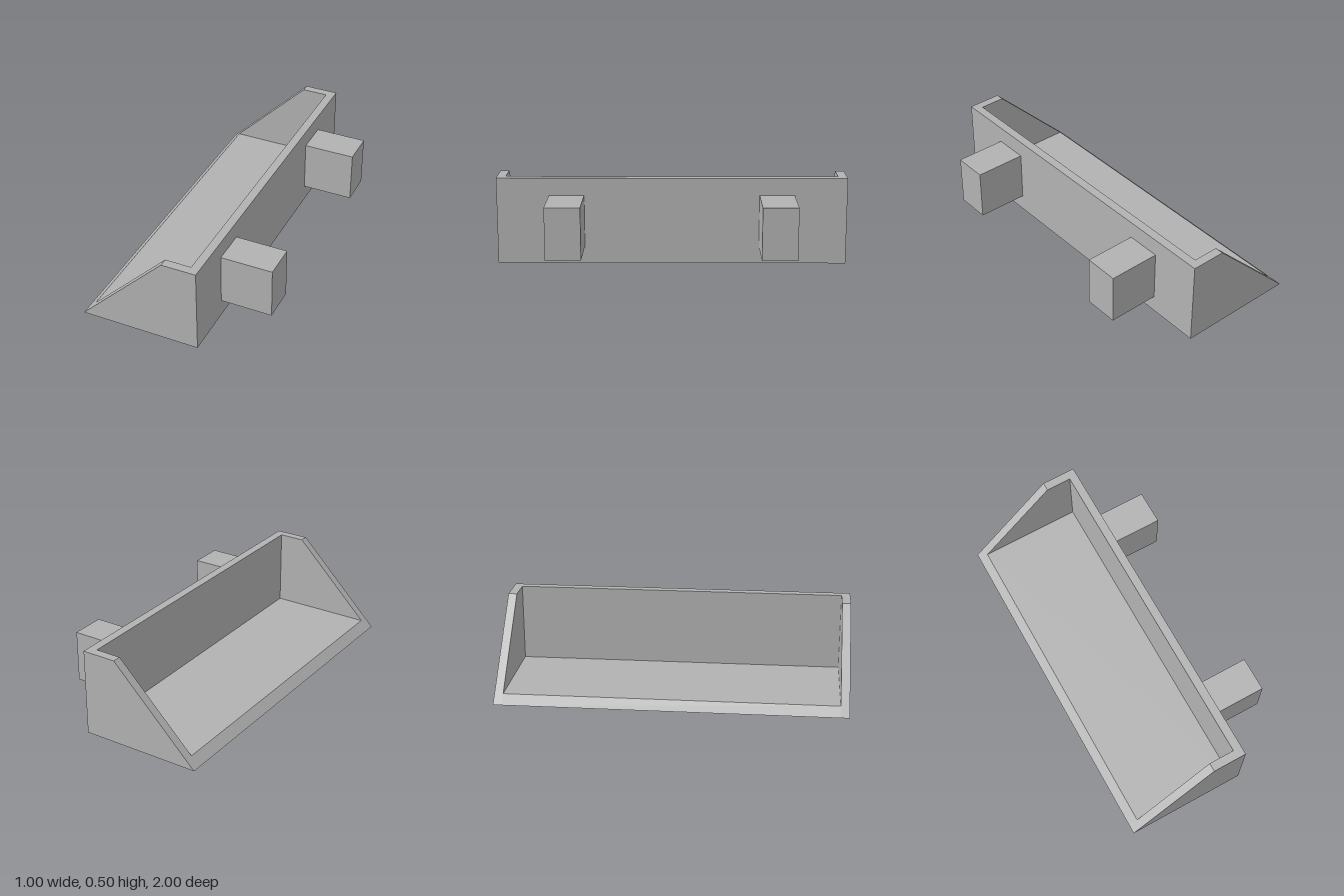
import * as THREE from 'three';

const WALL = 0.05;
const HALF = 1;

// Extrude an x/y outline along z, from z0 over the given length
function extrude(points, z0, length) {
  const shape = new THREE.Shape(points.map(([x, y]) => new THREE.Vector2(x, y)));
  const geometry = new THREE.ExtrudeGeometry(shape, { depth: length, bevelEnabled: false });
  return geometry.translate(0, 0, z0);
}

export function createModel() {
  const model = new THREE.Group();
  model.name = 'loaderBucket';
  const grey = new THREE.MeshStandardMaterial({ color: 0xb2b2b2 });
  grey.name = 'grey';

  const add = (name, geometry) => {
    const mesh = new THREE.Mesh(geometry, grey);
    mesh.name = name;
    model.add(mesh);
    return mesh;
  };

  // Floor with slanted lip and upright wall, as one L-shaped profile
  const tray = [[-0.5, 0], [0.2, 0], [0.2, 0.5], [0.15, 0.5], [0.15, WALL], [-0.45, WALL]];
  add('floorAndWall', extrude(tray, -HALF + WALL, 2 * (HALF - WALL)));

  // Sloped end plates
  const cheek = [[-0.5, 0], [0.2, 0], [0.2, 0.5], [0, 0.5]];
  add('frontEndPlate', extrude(cheek, HALF - WALL, WALL));
  add('backEndPlate', extrude(cheek, -HALF, WALL));

  // Mounting arms
  for (const side of [1, -1]) {
    const arm = add(side > 0 ? 'frontArm' : 'backArm', new THREE.BoxGeometry(0.3, 0.3, 0.2));
    arm.position.set(0.35, 0.25, side * 0.6);
  }
  return model;
}
